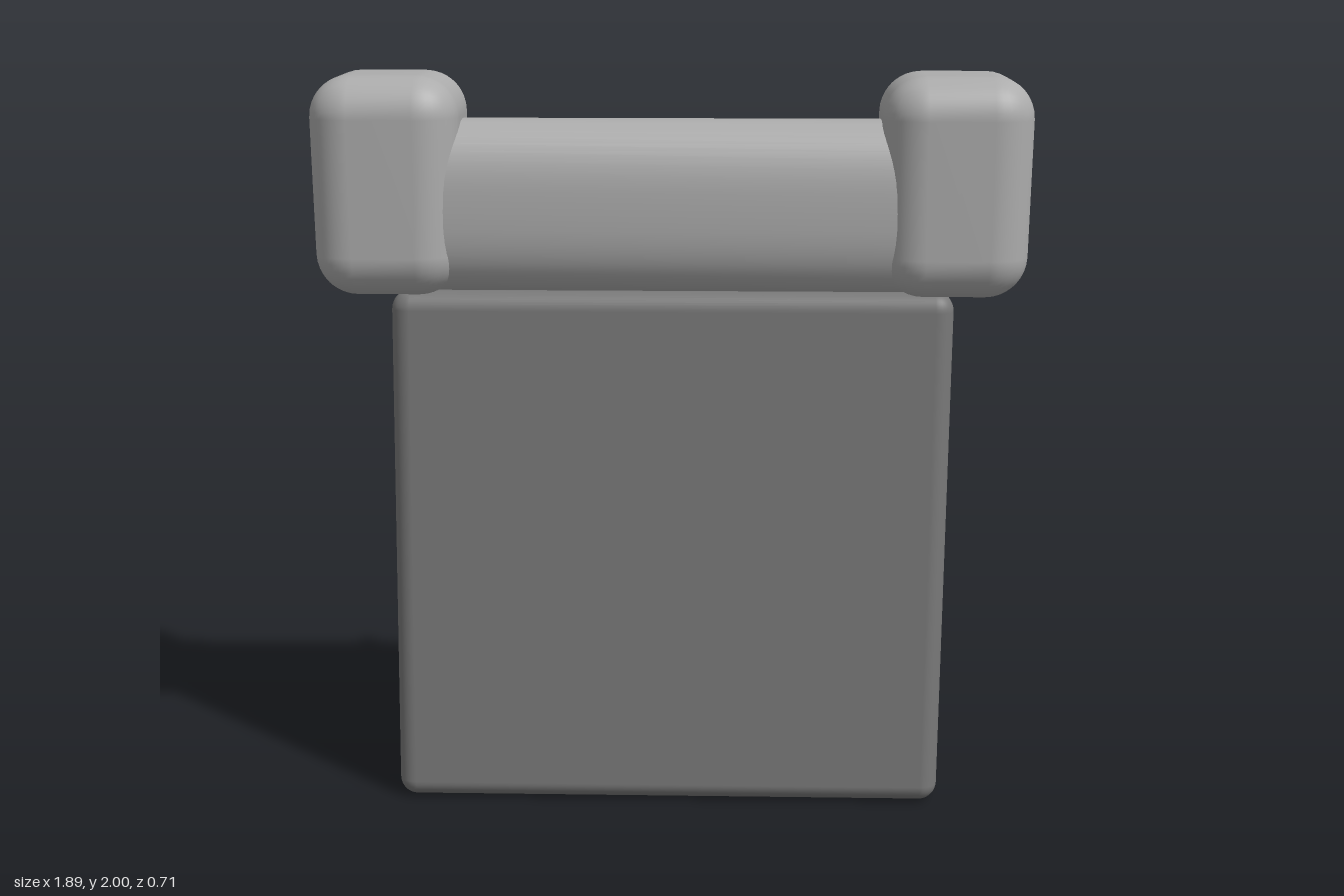
import * as THREE from 'three';
import { mergeVertices } from 'three/addons/utils/BufferGeometryUtils.js';
import { RoundedBoxGeometry } from 'three/addons/geometries/RoundedBoxGeometry.js';

const darkGrey = new THREE.MeshStandardMaterial({ color: 0x787878 });
const paleGrey = new THREE.MeshStandardMaterial({ color: 0xacacac });

// Moves every vertex by a rule, then smooths the normals
function reshape(source, rule) {
  source.deleteAttribute('normal');
  source.deleteAttribute('uv');
  source.clearGroups();
  const geo = mergeVertices(source, 1e-4);
  const p = geo.attributes.position;
  const v = new THREE.Vector3();
  for (let i = 0; i < p.count; i++) {
    rule(v.fromBufferAttribute(p, i));
    p.setXYZ(i, v.x, v.y, v.z);
  }
  geo.computeVertexNormals();
  return geo;
}

export function createModel() {
  const model = new THREE.Group();
  const add = (name, geo, material, x, y, z) => {
    const mesh = new THREE.Mesh(geo, material);
    mesh.name = name;
    mesh.position.set(x, y, z);
    model.add(mesh);
  };

  // Tapered slab, deeper at the foot than at the top
  const bodyH = 1.425;
  const body = reshape(new RoundedBoxGeometry(1.5, bodyH, 0.39, 5, 0.05), (v) => {
    const t = v.y / bodyH;
    v.z *= 1 - 0.26 * t;
    v.x += 0.012 * t;
  });
  add('body', body, darkGrey, -0.002, 0.005 + bodyH / 2, 0.109);

  // Bolster: squarish roll whose open ends are buried in the cushions
  const soft = (c) => Math.sign(c) * Math.pow(Math.abs(c), 0.75);
  const roll = new THREE.CylinderGeometry(1, 1, 1.4, 48, 1, true).rotateZ(Math.PI / 2);
  const bolster = reshape(roll, (v) => {
    v.y = 0.23 * soft(v.y);
    v.z = 0.155 * soft(v.z);
  });
  add('bolster', bolster, paleGrey, 0, 1.65, 0.165);

  // Puffy end cushions, a little wider at the top and pinched towards the back
  for (const side of [-1, 1]) {
    const cushion = reshape(new RoundedBoxGeometry(0.385, 0.58, 0.395, 5, 0.11), (v) => {
      const pinch = v.z < 0 ? 1 - 1.2 * v.z * v.z : 1;
      v.x *= (1 + 0.06 * v.y) * pinch * 1.01;
      v.z *= 1 + 0.05 * v.y;
    });
    add(side > 0 ? 'leftCushion' : 'rightCushion', cushion, paleGrey, side * 0.75, 1.71, 0.152);
  }

  // Peg projecting from the back
  const peg = new THREE.CylinderGeometry(0.031, 0.031, 0.32, 16).rotateX(Math.PI / 2);
  add('backPeg', peg, darkGrey, -0.34, 1.135, -0.198);

  return model;
}
